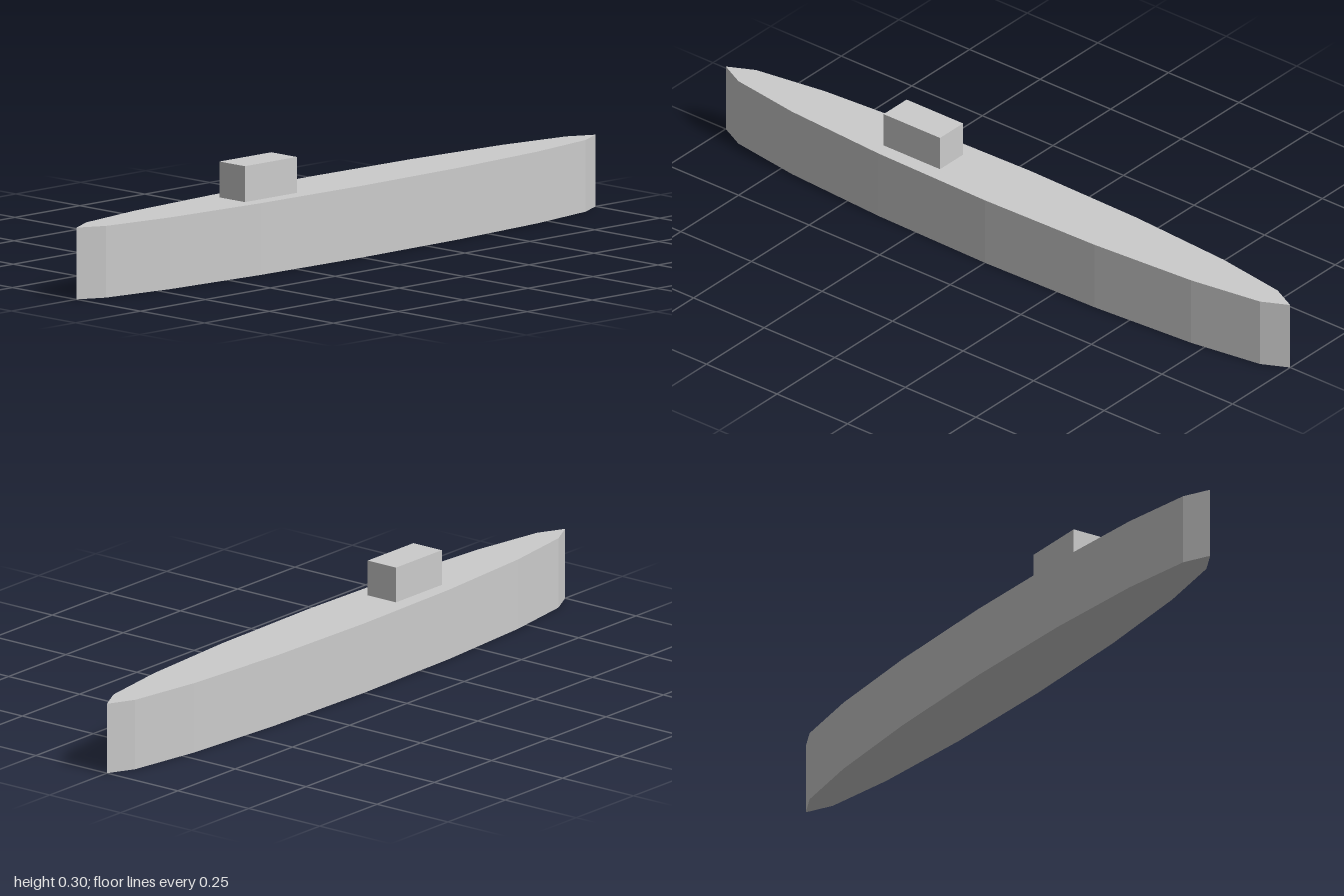
import * as THREE from 'three';

export function createModel() {
  const group = new THREE.Group();
  const material = new THREE.MeshStandardMaterial({ color: 0xcccccc, flatShading: true });

  const addPart = (name, geometry, x, y, z) => {
    const mesh = new THREE.Mesh(geometry, material);
    mesh.name = name;
    mesh.position.set(x, y, z);
    group.add(mesh);
  };

  // Hull: a 16-sided drum squeezed to a slender ellipse, pointed at bow and stern
  const hull = new THREE.CylinderGeometry(1, 1, 0.2, 16).scale(0.1, 1, 1);
  addPart('hull', hull, 0, 0.1, 0);

  // Cabin: a small block on the deck, forward of the middle
  addPart('cabin', new THREE.BoxGeometry(0.1, 0.1, 0.2), 0, 0.25, 0.3);

  return group;
}
